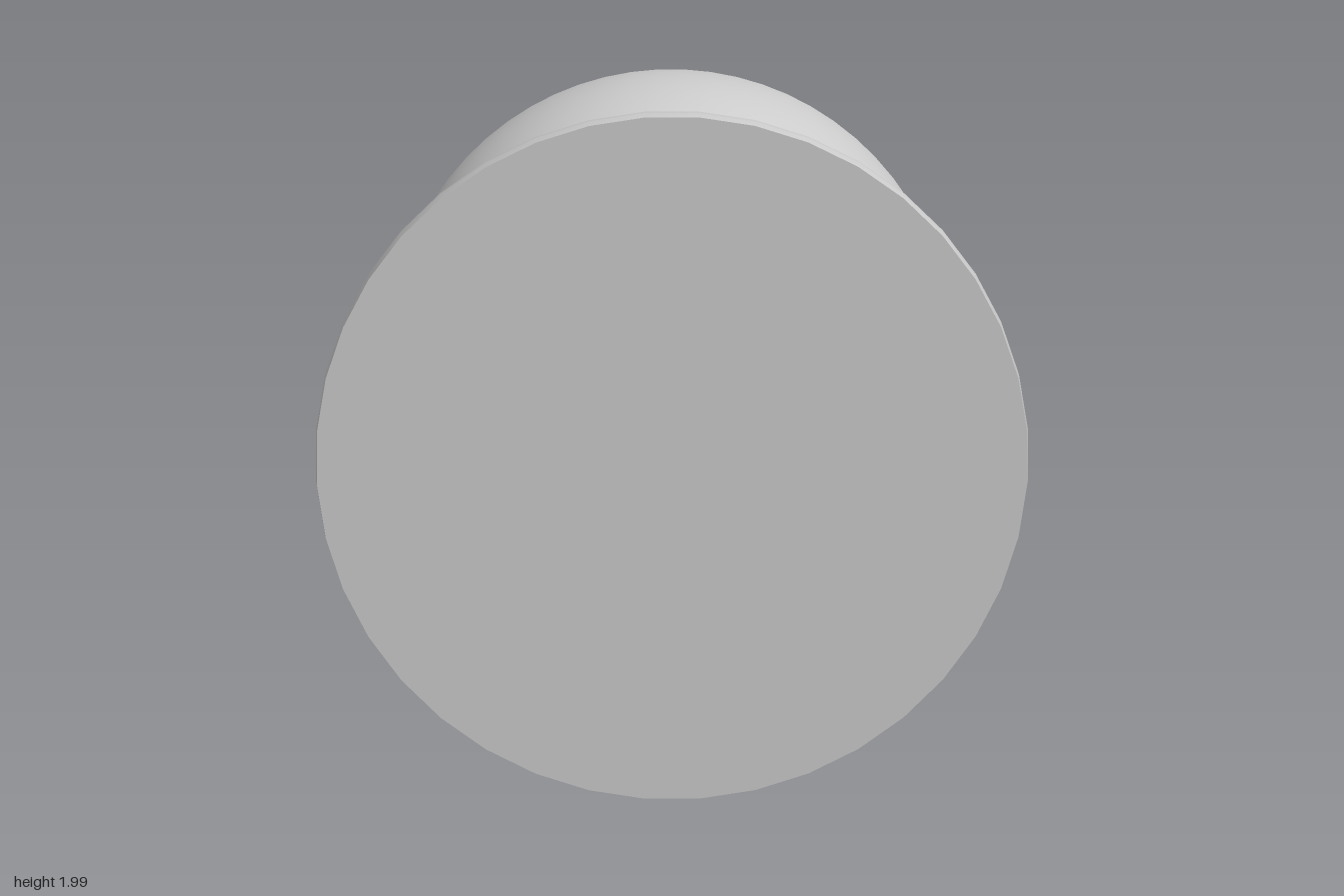
import * as THREE from 'three';

const material = new THREE.MeshStandardMaterial({ color: 0xcccccc });

// Surface of revolution around z from [radius, z] points, running back to front on outer faces
function turned(name, points, sides = 64) {
  const profile = points.map(([r, z]) => new THREE.Vector2(r, z));
  const geometry = new THREE.LatheGeometry(profile, sides, Math.PI / sides);
  geometry.rotateX(Math.PI / 2);
  const mesh = new THREE.Mesh(geometry, material);
  mesh.name = name;
  return mesh;
}

// Group of turned sections; every section boundary stays a sharp edge
function part(name, sections, sides) {
  const group = new THREE.Group();
  group.name = name;
  sections.forEach(([label, points]) => group.add(turned(label, points, sides)));
  return group;
}

// Slightly flattened ball between the recess rim and the neck
function ballProfile() {
  const radius = 0.785, depth = 0.722, centre = -0.235;
  const start = Math.acos(0.4 / radius), end = Math.acos(0.365 / radius);
  const points = [];
  for (let i = 0; i <= 40; i++) {
    const a = -start + (start + end) * i / 40;
    points.push([radius * Math.cos(a), centre + depth * Math.sin(a)]);
  }
  return points;
}

export function createModel() {
  const model = new THREE.Group();
  model.name = 'doorKnob';

  // Knob with a conical recess in its back face
  model.add(part('knob', [
    ['ball', ballProfile()],
    ['recessWall', [[0.21, -0.61], [0.4, -0.86]]],
    ['recessFloor', [[0, -0.61], [0.21, -0.61]]],
  ]));

  // Button in the recess: centre disc, fine groove and rounded collar
  model.add(part('button', [
    ['buttonDisc', [[0, -0.725], [0.122, -0.725]]],
    ['grooveInnerWall', [[0.122, -0.725], [0.122, -0.71]]],
    ['grooveFloor', [[0.122, -0.71], [0.134, -0.71]]],
    ['grooveOuterWall', [[0.134, -0.71], [0.134, -0.73]]],
    ['collarFace', [[0.134, -0.73], [0.16, -0.73]]],
    ['collarSide', [[0.16, -0.73], [0.174, -0.725], [0.182, -0.71], [0.184, -0.69], [0.184, -0.6]]],
  ]));

  // Waisted neck
  model.add(turned('neck', [
    [0.365, 0.39], [0.358, 0.45], [0.355, 0.51], [0.358, 0.58], [0.364, 0.64], [0.372, 0.7],
  ]));

  // Round mounting plate with a dished back
  model.add(part('mountingPlate', [
    ['plateHub', [[0.3, 0.687], [0.44, 0.687]]],
    ['plateBack', [[0.44, 0.687], [0.58, 0.716], [0.72, 0.741], [0.86, 0.764], [0.99, 0.783]]],
    ['plateEdge', [[0.99, 0.783], [0.998, 0.8], [1, 0.825], [0.998, 0.858]]],
    ['plateFront', [[0.998, 0.858], [0, 0.858]]],
  ], 40));

  model.position.y = 1;
  return model;
}
